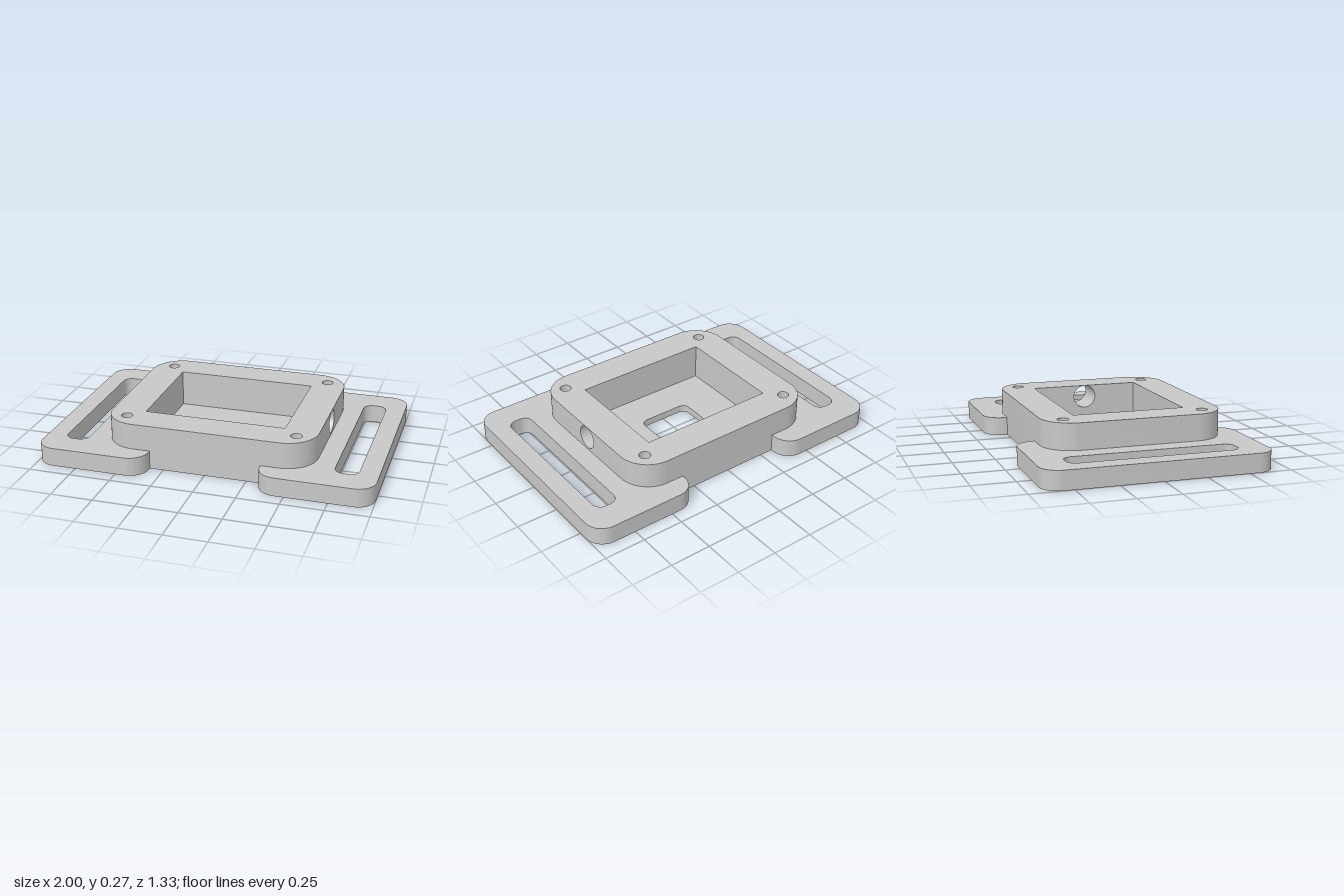
import * as THREE from 'three';
import { toCreasedNormals } from 'three/addons/utils/BufferGeometryUtils.js';

const FLOOR = 0.044, STRAP_TOP = 0.111, TOP = 0.267;
const BOX_X = 0.628, BOX_Z = 0.538, BOX_R = 0.19;
const CAV_X = 0.424, CAV_Z = 0.335;
const PORT_HALF = 0.12;
const Q = Math.PI / 2;

// Closed straight-sided outline
function rect(path, x0, y0, x1, y1) {
  path.moveTo(x0, y0);
  path.lineTo(x1, y0);
  path.lineTo(x1, y1);
  path.lineTo(x0, y1);
  path.closePath();
  return path;
}

// Rounded rectangle hole centred on (cx, cy)
function roundHole(cx, cy, hx, hy, r) {
  const path = new THREE.Path();
  [[1, -1], [1, 1], [-1, 1], [-1, -1]].forEach(([sx, sy], i) => {
    const a = (i - 1) * Q;
    path.absarc(cx + sx * (hx - r), cy + sy * (hy - r), r, a, a + Q, false);
  });
  path.closePath();
  return path;
}

// Plate with a strap lug on each side, joined by the width of the case
function baseShape() {
  const s = new THREE.Shape();
  const ix = 0.333, ox = 1, oz = 0.667, r = 0.111;
  s.moveTo(-ix, -BOX_Z);
  s.lineTo(ix, -BOX_Z);
  s.absarc(ix + r, -oz + r, r, 2 * Q, 3 * Q, false);
  s.absarc(ox - r, -oz + r, r, -Q, 0, false);
  s.absarc(ox - r, oz - r, r, 0, Q, false);
  s.absarc(ix + r, oz - r, r, Q, 2 * Q, false);
  s.lineTo(ix, BOX_Z);
  s.lineTo(-ix, BOX_Z);
  s.absarc(-ix - r, oz - r, r, 0, Q, false);
  s.absarc(-ox + r, oz - r, r, Q, 2 * Q, false);
  s.absarc(-ox + r, -oz + r, r, 2 * Q, 3 * Q, false);
  s.absarc(-ix - r, -oz + r, r, 3 * Q, 4 * Q, false);
  s.closePath();
  // Strap slots
  for (const side of [-1, 1])
    s.holes.push(roundHole(side * 0.814, 0, 0.07, 0.5, 0.055));
  return s;
}

// Case wall outline, open at +x where the port section sits
function wallShape() {
  const s = new THREE.Shape();
  const cx = BOX_X - BOX_R, cz = BOX_Z - BOX_R;
  s.moveTo(CAV_X, PORT_HALF);
  s.lineTo(BOX_X, PORT_HALF);
  s.absarc(cx, cz, BOX_R, 0, Q, false);
  s.absarc(-cx, cz, BOX_R, Q, 2 * Q, false);
  s.absarc(-cx, -cz, BOX_R, 2 * Q, 3 * Q, false);
  s.absarc(cx, -cz, BOX_R, 3 * Q, 4 * Q, false);
  s.lineTo(BOX_X, -PORT_HALF);
  s.lineTo(CAV_X, -PORT_HALF);
  s.lineTo(CAV_X, -CAV_Z);
  s.lineTo(-CAV_X, -CAV_Z);
  s.lineTo(-CAV_X, CAV_Z);
  s.lineTo(CAV_X, CAV_Z);
  s.closePath();
  // Screw holes
  for (const x of [-0.511, 0.511])
    for (const z of [-0.42, 0.42])
      s.holes.push(new THREE.Path().absarc(x, z, 0.034, 0, Math.PI * 2, true));
  return s;
}

function extrude(shape, depth) {
  const g = new THREE.ExtrudeGeometry(shape, { depth, bevelEnabled: false, curveSegments: 16 });
  return toCreasedNormals(g, 0.6);
}

export function createModel() {
  const group = new THREE.Group();
  const grey = new THREE.MeshStandardMaterial({ color: 0xc8c8c8 });
  grey.name = 'light grey plastic';

  const add = (name, geometry) => {
    const mesh = new THREE.Mesh(geometry, grey);
    mesh.name = name;
    group.add(mesh);
  };
  // Horizontal slab between two heights
  const slab = (name, shape, y0, y1) =>
    add(name, extrude(shape, y1 - y0).rotateX(-Q).translate(0, y0, 0));

  // Strap lugs and lower case, around the cavity
  const base = baseShape();
  base.holes.push(rect(new THREE.Path(), -CAV_X, -CAV_Z, CAV_X, CAV_Z));
  slab('strapPlate', base, 0, STRAP_TOP);

  // Cavity floor with the central window
  const floor = rect(new THREE.Shape(), -CAV_X, -CAV_Z, CAV_X, CAV_Z);
  floor.holes.push(roundHole(0, 0, 0.168, 0.113, 0.045));
  slab('cavityFloor', floor, 0, FLOOR);

  // Upper case wall
  slab('caseWall', wallShape(), STRAP_TOP, TOP);

  // Wall section with the round cable port
  const port = rect(new THREE.Shape(), -PORT_HALF, STRAP_TOP, PORT_HALF, TOP);
  port.holes.push(new THREE.Path().absarc(0, 0.1945, 0.071, 0, Math.PI * 2, true));
  add('cablePortWall', extrude(port, BOX_X - CAV_X).rotateY(Q).translate(CAV_X, 0, 0));

  return group;
}
